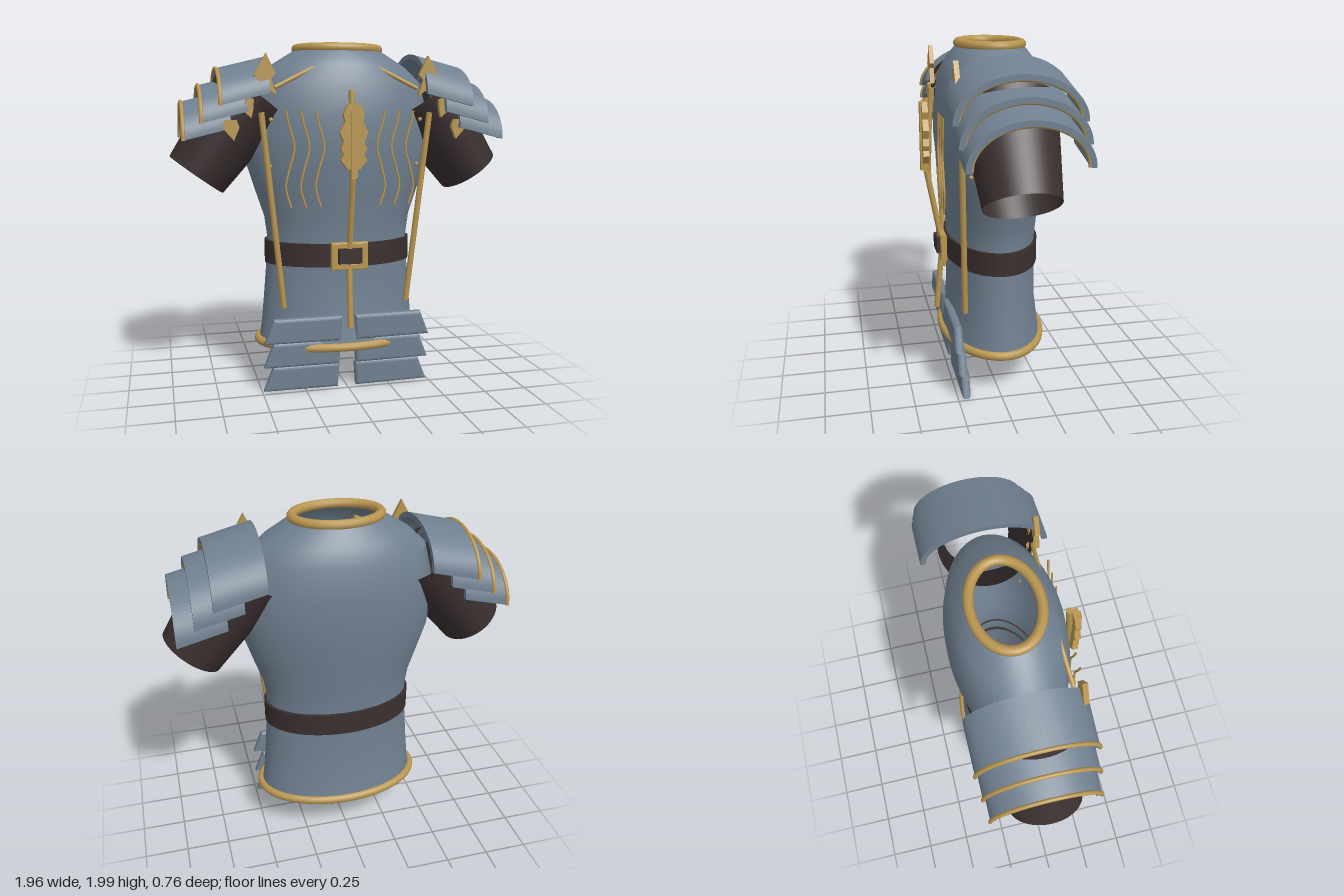
import * as THREE from 'three';
import { toCreasedNormals } from 'three/addons/utils/BufferGeometryUtils.js';

const V = (x, y, z) => new THREE.Vector3(x, y, z);
const paint = (name, color) => {
  const m = new THREE.MeshStandardMaterial({ color, side: THREE.DoubleSide });
  m.name = name;
  return m;
};

// Surface through a list of rings with equally many points
function loft(rings, closed) {
  const n = rings[0].length, pos = [], idx = [];
  rings.forEach(r => r.forEach(p => pos.push(p.x, p.y, p.z)));
  for (let i = 0; i < rings.length - 1; i++) {
    for (let j = 0; j < (closed ? n : n - 1); j++) {
      const k = (j + 1) % n, a = i * n + j, b = i * n + k, c = a + n, d = b + n;
      idx.push(a, c, b, b, c, d);
    }
  }
  const g = new THREE.BufferGeometry();
  g.setAttribute('position', new THREE.Float32BufferAttribute(pos, 3));
  g.setIndex(idx);
  g.computeVertexNormals();
  return g;
}

const CZ = -0.03;
const ellipse = (y, rx, rz, n = 64) => Array.from({ length: n }, (_, i) => {
  const a = i / n * Math.PI * 2;
  return V(Math.cos(a) * rx, y, CZ + Math.sin(a) * rz);
});

export function createModel() {
  const root = new THREE.Group();
  const steel = paint('steel', 0x708090);
  const gold = paint('gold', 0xb8954f);
  const leather = paint('dark leather', 0x3a2f2f);

  const add = (name, geo, mat, parent = root) => {
    const m = new THREE.Mesh(geo, mat);
    m.name = name;
    parent.add(m);
    return m;
  };
  const rod = (name, a, b, r, parent) => {
    const m = add(name, new THREE.CylinderGeometry(r, r, a.distanceTo(b), 12), gold, parent);
    m.position.copy(a).add(b).multiplyScalar(0.5);
    m.quaternion.setFromUnitVectors(V(0, 1, 0), b.clone().sub(a).normalize());
  };
  const tube = (name, pts, r, closed, parent, seg = 40) =>
    add(name, new THREE.TubeGeometry(new THREE.CatmullRomCurve3(pts, closed), seg, r, 10, closed), gold, parent);
  const plate = (name, pts, z, depth, mat, parent, bevel = 0) => {
    const shape = new THREE.Shape(pts.map(p => new THREE.Vector2(p[0], p[1])));
    const g = new THREE.ExtrudeGeometry(shape, {
      depth: depth - 2 * bevel, bevelEnabled: bevel > 0, bevelSize: bevel,
      bevelThickness: bevel, bevelOffset: -bevel, bevelSegments: 3,
    });
    add(name, g, mat, parent).position.z = z + bevel;
  };

  // Torso shell, open at neck and hem: [y, half width, half depth]
  const profile = [
    [0.26, 0.48, 0.295], [0.36, 0.465, 0.278], [0.5, 0.452, 0.26], [0.7, 0.435, 0.256],
    [0.88, 0.426, 0.256], [1.0, 0.442, 0.267], [1.15, 0.492, 0.287], [1.3, 0.54, 0.306],
    [1.45, 0.557, 0.32], [1.6, 0.55, 0.318], [1.78, 0.505, 0.295], [1.87, 0.41, 0.258],
    [1.95, 0.28, 0.2], [1.975, 0.24, 0.172],
  ];
  add('torso', toCreasedNormals(loft(profile.map(p => ellipse(...p)), true), 0.5), steel);
  tube('collarRing', ellipse(1.973, 0.243, 0.175, 32), 0.027, true, root, 80);
  tube('hemRing', ellipse(0.26, 0.485, 0.295, 32), 0.025, true, root, 96);

  // Belt and buckle
  const band = [[0.73, 0.415, 0.25], [0.73, 0.442, 0.272], [0.865, 0.442, 0.272], [0.865, 0.415, 0.25]];
  add('belt', toCreasedNormals(loft(band.map(p => ellipse(...p)), true), 0.5), leather);
  const frame = new THREE.Shape([[-0.107, 0.72], [0.107, 0.72], [0.107, 0.877], [-0.107, 0.877]]
    .map(p => new THREE.Vector2(...p)));
  frame.holes.push(new THREE.Path([[-0.068, 0.757], [-0.068, 0.843], [0.068, 0.843], [0.068, 0.757]]
    .map(p => new THREE.Vector2(...p))));
  add('buckleFrame', new THREE.ExtrudeGeometry(frame, {
    depth: 0.025, bevelSize: 0.006, bevelThickness: 0.006, bevelOffset: -0.006, bevelSegments: 2,
  }), gold).position.z = 0.25;
  add('buckleCentre', new THREE.BoxGeometry(0.136, 0.086, 0.05), leather).position.set(0, 0.8, 0.275);

  // Staff down the front with a scalloped leaf
  const staff = [V(0, 1.73, 0.305), V(0, 1.25, 0.343), V(0, 0.87, 0.272), V(0, 0.735, 0.264), V(0, 0.385, 0.297)];
  for (let i = 0; i < 4; i++) rod('staff', staff[i], staff[i + 1], 0.017);
  const half = [[0.035, 1.655], [0.06, 1.6], [0.05, 1.56], [0.08, 1.5], [0.058, 1.45], [0.074, 1.41],
    [0.058, 1.38], [0.075, 1.35], [0.035, 1.3]];
  plate('staffLeaf', [...half, ...half.map(p => [-p[0], p[1]]).reverse()], 0.333, 0.034, gold, root);
  add('leafSpine', new THREE.BoxGeometry(0.036, 0.4, 0.044), gold).position.set(0, 1.455, 0.355);

  // Paired parts
  for (const s of [1, -1]) {
    const side = new THREE.Group();
    side.name = s > 0 ? 'leftSide' : 'rightSide';
    root.add(side);
    const flip = pts => pts.map(p => [p[0] * s, p[1]]);

    // Skirt plates in three rows
    for (let r = 0; r < 3; r++) {
      const y = 0.3 - r * 0.145, i = 0.036 + r * 0.004;
      plate('skirtPlate', flip([[i, y + 0.147], [0.437, y + 0.147], [0.492, y + 0.004], [i + 0.01, y]]),
        0.215 - r * 0.019, 0.05, steel, side, 0.018);
    }

    // Open sleeve
    const sleeve = add('sleeve', new THREE.CylinderGeometry(0.235, 0.183, 0.557, 48, 1, true), leather, side);
    sleeve.position.set(0.667 * s, 1.482, -0.02);
    sleeve.rotation.z = 0.631 * s;
    sleeve.scale.z = 1.1;

    // Overlapping shoulder plates: inner x, outer x, outer top y, half depth
    const t = 0.03, grow = s > 0 ? t : 0;
    [[0.445, 0.712, 1.857, 0.315], [0.565, 0.813, 1.762, 0.302], [0.655, 0.91, 1.67, 0.29]].forEach(([x0, x1, top, w]) => {
      const h = 0.21;
      const at = (x, a, o) => V(x * s, top - h + (x1 - x) * 0.25 + Math.sin(a) * (h + o), -0.04 + Math.cos(a) * (w + o));
      const rings = [];
      for (let i = 0; i <= 32; i++) {
        const a = i / 32 * Math.PI, e = x1 + grow * 0.4;
        const ring = [at(x0, a, grow), at(e, a, grow), at(e, a, grow - t), at(x0, a, grow - t)];
        const mid = at((x0 + e) / 2, a, grow - t / 2);
        const cap = ring.map(() => mid);
        if (i === 0) rings.push(cap);
        rings.push(ring);
        if (i === 32) rings.push(cap);
      }
      add('shoulderPlate', toCreasedNormals(loft(rings, true), 0.6), steel, side);
      tube('shoulderTrim', Array.from({ length: 17 }, (_, i) => at(x1, i / 16 * Math.PI, 0)), 0.011, false, side);
    });

    // Strap rods and shoulder pins
    rod('strapRod', V(0.487 * s, 1.61, 0.22), V(0.367 * s, 0.5, 0.187), 0.017, side);
    rod('shoulderPin', V(0.165 * s, 1.868, 0.19), V(0.41 * s, 1.745, 0.215), 0.012, side);

    // Pointed clasps by the shoulder plates
    const clasps = [
      [[0.463, 1.927], [0.41, 1.82], [0.435, 1.79], [0.405, 1.7], [0.47, 1.745], [0.53, 1.81]],
      [[0.545, 1.58], [0.58, 1.61], [0.575, 1.7], [0.53, 1.68], [0.535, 1.62]],
      [[0.64, 1.458], [0.7, 1.525], [0.69, 1.57], [0.625, 1.57], [0.61, 1.53]],
    ];
    clasps.forEach(c => plate('clasp', flip(c), 0.228, 0.027, gold, side));

    // Small studs
    for (const [y, z] of [[1.57, 0.21], [1.31, 0.16]]) {
      add('stud', new THREE.SphereGeometry(0.012, 12, 8), gold, side).position.set(0.433 * s, y, z);
    }

    // Wavy chest lines
    for (const c of [0.345, 0.262, 0.178]) {
      const wave = [[1.62, 0.018], [1.55, 0.005], [1.42, -0.027], [1.3, 0.002], [1.2, 0.022], [1.09, -0.006]];
      tube('chestWave', wave.map(([y, d]) => V((c + d) * s, y, 0.295)), 0.006, false, side);
    }
  }
  return root;
}
